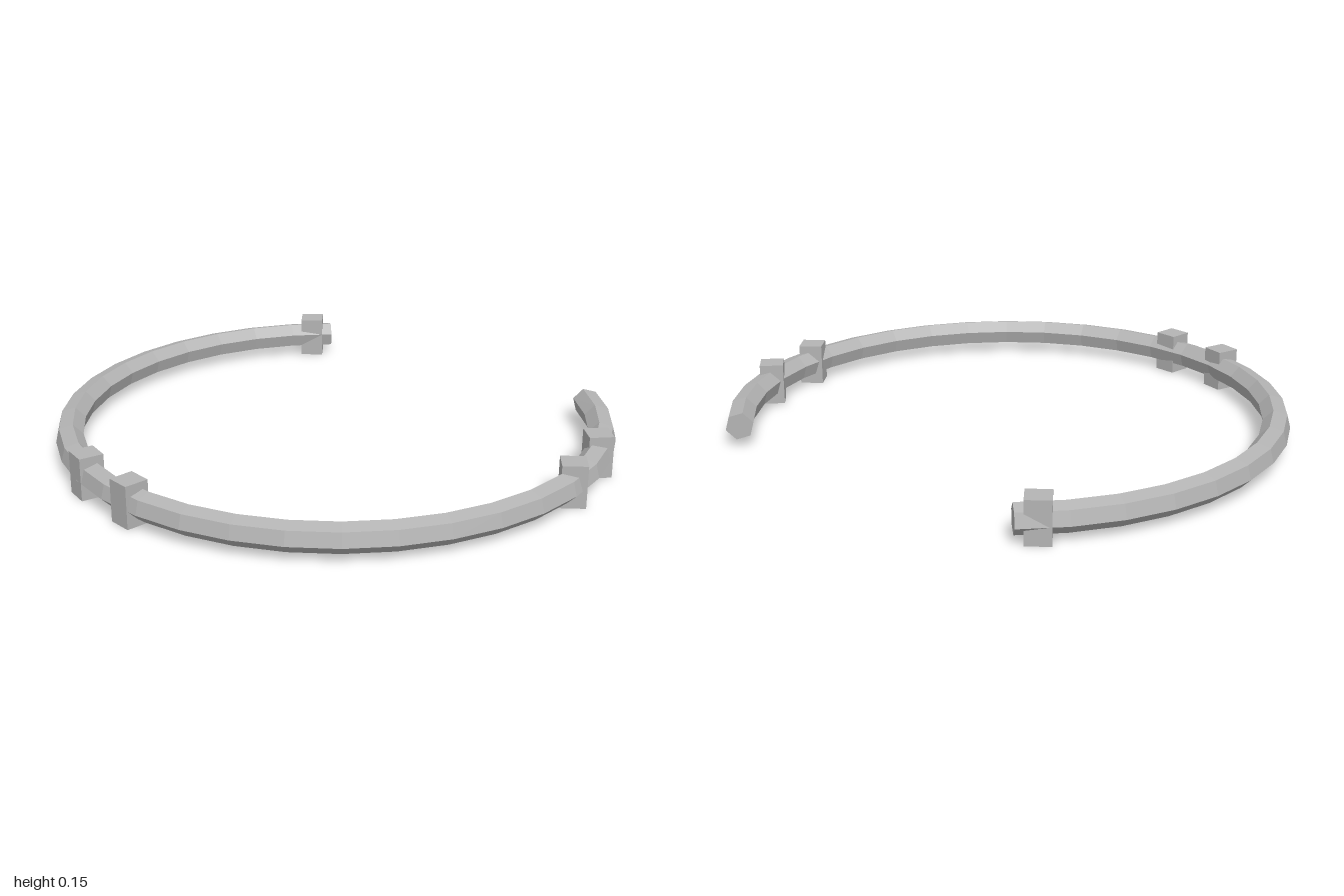
import * as THREE from 'three';

const rad = THREE.MathUtils.degToRad;

// Hexagonal bar swept along an open arc, ends cut square to the last chord
function arcBar({ cx, y, radius, tube, phase, from, to, segments }) {
  const sides = 6, pos = [], index = [];
  const step = (to - from) / segments;
  for (let i = 0; i <= segments; i++) {
    const a = from + i * step;
    const facing = i === 0 ? a + step / 2 : i === segments ? a - step / 2 : a;
    for (let j = 0; j < sides; j++) {
      const s = phase + (j / sides) * Math.PI * 2;
      const r = tube * Math.cos(s);
      pos.push(
        cx + radius * Math.cos(a) + r * Math.cos(facing),
        y + tube * Math.sin(s),
        radius * Math.sin(a) + r * Math.sin(facing)
      );
    }
  }
  for (let i = 0; i < segments; i++) {
    for (let j = 0; j < sides; j++) {
      const a = i * sides + j, b = i * sides + (j + 1) % sides;
      const c = a + sides, d = b + sides;
      index.push(a, b, c, b, d, c);
    }
  }
  // End caps
  const last = segments * sides;
  for (let j = 1; j < sides - 1; j++) {
    index.push(0, j + 1, j, last, last + j, last + j + 1);
  }
  const geo = new THREE.BufferGeometry();
  geo.setAttribute('position', new THREE.Float32BufferAttribute(pos, 3));
  geo.setIndex(index);
  const flat = geo.toNonIndexed();
  flat.computeVertexNormals();
  return flat;
}

export function createModel() {
  const group = new THREE.Group();
  group.name = 'openRing';

  const metal = new THREE.MeshStandardMaterial({ color: 0xb4b4b4, flatShading: true });
  metal.name = 'grey metal';

  // Open ring
  const ring = new THREE.Mesh(arcBar({
    cx: 0.04, y: 0.075, radius: 0.95, tube: 0.05, phase: rad(45),
    from: rad(23), to: rad(302.5), segments: 28
  }), metal);
  ring.name = 'ringBar';
  group.add(ring);

  // Square blocks threaded on the ring: x, z, turn in degrees
  const blockGeo = new THREE.BoxGeometry(0.086, 0.15, 0.086);
  const blocks = [
    [-0.913, -0.057, -1],
    [-0.89, 0.21, 9],
    [0.38, 0.885, -37],
    [0.613, 0.753, -28],
    [0.483, -0.837, -36]
  ];
  blocks.forEach(([x, z, turn], i) => {
    const block = new THREE.Mesh(blockGeo, metal);
    block.name = `block${i + 1}`;
    block.position.set(x, 0.075, z);
    block.rotation.y = rad(turn);
    group.add(block);
  });

  return group;
}
